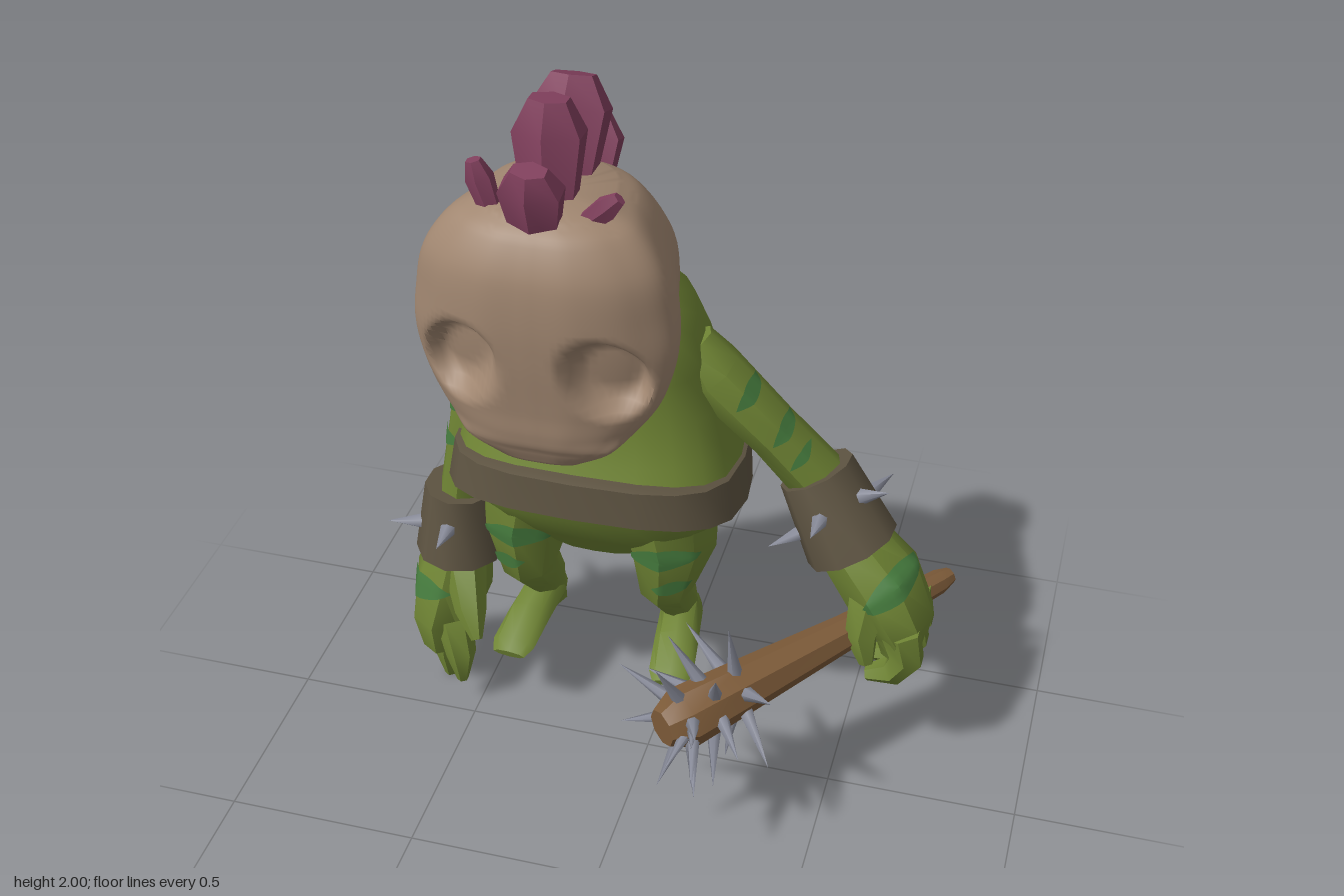
import * as THREE from 'three';
import { toCreasedNormals } from 'three/addons/utils/BufferGeometryUtils.js';

const V = (x, y, z) => new THREE.Vector3(x, y, z);
const CX = -0.172; // centre line of the body

export function createModel() {
  const model = new THREE.Group();
  const mat = (name, color) => Object.assign(new THREE.MeshStandardMaterial({ color }), { name });
  const skinGreen = mat('skin green', 0x6f8434);
  const stripeGreen = mat('stripe green', 0x467c3e);
  const bone = mat('bone tan', 0xa08670);
  const leather = mat('leather', 0x5e5442);
  const crest = mat('crest purple', 0x803f5c);
  const wood = mat('wood', 0x7d5b39);
  const steel = mat('steel', 0x898c9a);

  const add = (name, geo, material, parent = model) => {
    const mesh = new THREE.Mesh(geo, material);
    mesh.name = name;
    parent.add(mesh);
    return mesh;
  };

  // Skins a stack of point rings; closed stacks get end caps
  function skin(rings, crease = 0.8, closed = true) {
    const n = rings[0].length, pos = [], idx = [];
    rings.forEach(r => r.forEach(p => pos.push(p.x, p.y, p.z)));
    for (let i = 0; i < rings.length - 1; i++) {
      for (let j = 0; j < (closed ? n : n - 1); j++) {
        const k = (j + 1) % n, a = i * n + j, b = i * n + k, c = a + n, d = b + n;
        idx.push(a, b, c, b, d, c);
      }
    }
    if (closed) {
      [0, rings.length - 1].forEach((i, end) => {
        const m = middle(rings[i]), at = pos.length / 3;
        pos.push(m.x, m.y, m.z);
        for (let j = 0; j < n; j++) {
          const a = i * n + j, b = i * n + (j + 1) % n;
          end ? idx.push(at, a, b) : idx.push(at, b, a);
        }
      });
    }
    const geo = new THREE.BufferGeometry();
    geo.setAttribute('position', new THREE.Float32BufferAttribute(pos, 3));
    geo.setIndex(idx);
    return toCreasedNormals(geo, crease);
  }
  const middle = ring => ring.reduce((s, p) => s.add(p), V(0, 0, 0)).divideScalar(ring.length);

  // Elliptical rings along a path of [x, y, z, radius toward ref, radius across]
  function limbRings(st, n = 8, ref = V(0, 0, 1)) {
    const c = st.map(s => V(s[0], s[1], s[2]));
    return st.map((s, i) => {
      const T = c[Math.min(i + 1, c.length - 1)].clone().sub(c[Math.max(i - 1, 0)]).normalize();
      const B = ref.clone().addScaledVector(T, -ref.dot(T)).normalize();
      const N = T.clone().cross(B);
      return Array.from({ length: n }, (_, j) => {
        const a = j / n * Math.PI * 2;
        return c[i].clone().addScaledVector(B, s[3] * Math.cos(a)).addScaledVector(N, (s[4] ?? s[3]) * Math.sin(a));
      });
    });
  }
  const limb = (name, st, material, parent, n, ref, crease) => add(name, skin(limbRings(st, n, ref), crease), material, parent);

  // Pointed stripe painted on a limb: t along it, s around it (0 to 1)
  function stripe(st, t, s, width, span, parent) {
    const rings = limbRings(st), n = rings[0].length, rows = [];
    const at = (ring, q) => {
      const w = ((q % 1) + 1) % 1 * n, j = Math.floor(w) % n;
      return ring[j].clone().lerp(ring[(j + 1) % n], w - Math.floor(w));
    };
    for (let v = 0; v <= 4; v++) {
      rows.push(Array.from({ length: 13 }, (_, u) => {
        const q = u / 12, tt = t + (q - 0.5) * width * 0.4 + (v / 4 - 0.5) * width * Math.sin(q * Math.PI);
        const i = Math.min(Math.floor(tt), rings.length - 2), f = tt - i, a = s + (q - 0.5) * span;
        const p = at(rings[i], a).lerp(at(rings[i + 1], a), f);
        const c = middle(rings[i]).lerp(middle(rings[i + 1]), f);
        return p.addScaledVector(p.clone().sub(c).normalize(), 0.005);
      }));
    }
    add('stripe', skin(rows, 0.8, false), stripeGreen, parent);
  }

  function spike(p, dir, len, r, parent) {
    const d = dir.clone().normalize();
    const m = add('spike', new THREE.ConeGeometry(r, len, 6), steel, parent);
    m.quaternion.setFromUnitVectors(V(0, 1, 0), d);
    m.position.copy(p).addScaledVector(d, len / 2);
  }

  // Torso rings: [front y, back y, half width, front z, back z, narrowing at the back, dip at the sides]
  const bodyRings = rows => rows.map(([yf, yb, hw, zf, zb, narrow = 0, dip = 0]) => Array.from({ length: 20 }, (_, j) => {
    const a = j / 20 * Math.PI * 2, sq = v => Math.sign(v) * Math.abs(v) ** 0.72;
    const k = (1 + sq(Math.cos(a))) / 2;
    return V(CX + hw * sq(Math.sin(a)) * (1 - narrow * (1 - k)), yb + (yf - yb) * k - dip * Math.sin(a) ** 2, zb + (zf - zb) * k);
  }));
  add('pelvis', skin(bodyRings([
    [0.57, 0.57, 0.14, -0.09, -0.28], [0.66, 0.63, 0.28, -0.02, -0.35],
    [0.76, 0.7, 0.345, 0.05, -0.42], [0.84, 0.8, 0.36, 0.07, -0.44]])), skinGreen);
  add('belt', skin(bodyRings([
    [0.81, 0.72, 0.355, 0.08, -0.43, 0, 0.02], [0.82, 0.74, 0.39, 0.11, -0.45, 0, 0.02], [0.92, 0.89, 0.375, 0.1, -0.49, 0, 0.03],
    [0.925, 0.9, 0.355, 0.08, -0.47, 0, 0.03]])), leather);
  add('torso', skin(bodyRings([
    [0.87, 0.85, 0.37, 0.085, -0.475], [0.95, 0.96, 0.355, 0.05, -0.465, 0.06], [1.05, 1.07, 0.332, 0.02, -0.455, 0.14],
    [1.17, 1.2, 0.312, 0.02, -0.44, 0.24], [1.27, 1.32, 0.298, 0.02, -0.37, 0.32], [1.35, 1.42, 0.22, 0.02, -0.26, 0.25],
    [1.4, 1.5, 0.12, 0.02, -0.14]])), skinGreen);

  // Head: contour from face centre to nape, scaled per height, sockets pushed in
  const contour = new THREE.CatmullRomCurve3([[0, 1], [0.4, 0.985], [0.78, 0.89], [1, 0.74], [0.88, 0.45],
    [0.74, 0.18], [0.4, 0.02], [0, 0]].map(([x, z]) => V(x, z, 0)));
  const rows = [[1.155, 0.09, 0.335, 0.27], [1.2, 0.165, 0.355, 0.24], [1.25, 0.222, 0.37, 0.04], [1.32, 0.272, 0.375, -0.06],
    [1.45, 0.307, 0.39, -0.12], [1.55, 0.302, 0.395, -0.16], [1.66, 0.275, 0.385, -0.1], [1.745, 0.215, 0.345, -0.04], [1.78, 0.155, 0.3, 0.01]];
  const widths = new THREE.CatmullRomCurve3(rows.map(r => V(r[0], r[1], 0)));
  const depths = new THREE.CatmullRomCurve3(rows.map(r => V(r[2], r[3], 0)));
  const headRings = Array.from({ length: 49 }, (_, i) => {
    const w = widths.getPoint(i / 48), d = depths.getPoint(i / 48);
    return Array.from({ length: 96 }, (_, j) => {
      const c = contour.getPoint(j <= 48 ? j / 48 : 2 - j / 48), x = c.x * w.y * (j <= 48 ? 1 : -1);
      const p = V(CX + x, w.x, d.y + (d.x - d.y) * c.y);
      const e = Math.hypot((Math.abs(x) - 0.17) / 0.1, (w.x - 1.42 + (Math.abs(x) - 0.17) * 0.2) / 0.11);
      if (p.z > 0.2) p.z -= 0.07 * (1 - THREE.MathUtils.smoothstep(e, 0.6, 1.05));
      return p;
    });
  });
  add('head', skin(headRings, 1.3), bone);

  // Crest of crystal tufts: base, tip, half depth, half width
  [[[-0.175, 1.63, -0.06], [-0.175, 1.83, -0.135], 0.055, 0.092], [[-0.175, 1.73, 0.07], [-0.175, 1.975, -0.015], 0.072, 0.1],
    [[-0.175, 1.73, 0.18], [-0.175, 2, 0.165], 0.062, 0.09], [[-0.175, 1.72, 0.28], [-0.17, 1.91, 0.33], 0.052, 0.08],
    [[-0.28, 1.73, 0.25], [-0.32, 1.88, 0.26], 0.028, 0.034], [[-0.1, 1.73, 0.25], [0.01, 1.835, 0.265], 0.02, 0.03],
  ].forEach(([b, t, rz, rx]) => {
    const st = [[0, 0.7], [0.72, 1], [1, 0.55]].map(([k, s]) => [...b.map((v, i) => v + (t[i] - v) * k), rz * s, rx * s]);
    limb('crestTuft', st, crest, model, 6, undefined, 0.5);
  });

  // Legs, mirrored about the body's centre line
  for (const side of [-1, 1]) {
    const leg = new THREE.Group();
    leg.name = side < 0 ? 'rightLeg' : 'leftLeg';
    model.add(leg);
    const at = st => st.map(([x, ...r]) => [CX + side * x, ...r]);
    const shank = at([[0.17, 0.78, -0.17, 0.17, 0.15], [0.2, 0.61, -0.14, 0.13, 0.118], [0.19, 0.49, -0.12, 0.09, 0.075],
      [0.185, 0.41, -0.19, 0.075, 0.055], [0.19, 0.31, -0.27, 0.06, 0.05], [0.195, 0.235, -0.28, 0.05, 0.055]]);
    limb('shank', shank, skinGreen, leg);
    stripe(shank, 1, 0, 0.4, 0.32, leg);
    stripe(shank, 1.6, side * -0.06, 0.3, 0.2, leg);
    limb('foot', at([[0.195, 0.25, -0.335, 0.035, 0.04], [0.195, 0.272, -0.27, 0.06, 0.058], [0.21, 0.255, -0.15, 0.045, 0.06],
      [0.222, 0.232, -0.05, 0.022, 0.06], [0.225, 0.222, -0.015, 0.012, 0.045]]), skinGreen, leg, 8, V(0, 1, 0));
  }

  // Arms: upper arm, spiked cuff, hand and fingers
  function arm(name, upper, cuff, hand, fingers, marks) {
    const g = new THREE.Group();
    g.name = name;
    model.add(g);
    limb('upperArm', upper, skinGreen, g);
    limb('cuff', cuff, leather, g, 10);
    limb('hand', hand, skinGreen, g);
    fingers.forEach(f => limb('finger', f, skinGreen, g, 6));
    marks.forEach(([st, ...m]) => stripe(st, ...m, g));
    const rings = limbRings(cuff, 10);
    for (let j = 0; j < 10; j += 2) {
      const i = j % 4 ? 0.62 : 0.4, c = middle(rings[0]).lerp(middle(rings[1]), i);
      const p = rings[0][j].clone().lerp(rings[1][j], i), d = p.clone().sub(c).normalize();
      spike(p.addScaledVector(d, -0.015), d, 0.1, 0.024, g);
    }
  }
  const rUpper = [[-0.47, 1.1, -0.17, 0.07, 0.06], [-0.49, 1.03, -0.17, 0.085, 0.072], [-0.53, 0.85, -0.19, 0.08, 0.062], [-0.565, 0.6, -0.19, 0.08, 0.07]];
  const rHand = [[-0.575, 0.47, -0.18, 0.1, 0.09], [-0.595, 0.36, -0.165, 0.12, 0.108], [-0.62, 0.24, -0.14, 0.125, 0.09], [-0.62, 0.15, -0.14, 0.1, 0.065]];
  arm('rightArm', rUpper, [[-0.57, 0.645, -0.19, 0.11, 0.098], [-0.58, 0.44, -0.18, 0.132, 0.12]], rHand,
    [[-0.68, 0.08, -0.23], [-0.62, 0, -0.14], [-0.545, 0.08, -0.04]].map(([x, y, z]) => [
      [-0.62 + (x + 0.62) * 0.6, 0.25, -0.14 + (z + 0.14) * 0.6, 0.055, 0.05], [x, y + 0.09, z, 0.047, 0.04], [x, y, z, 0.018, 0.016]])
      .concat([[[-0.55, 0.42, -0.12, 0.06, 0.06], [-0.505, 0.34, -0.03, 0.045, 0.042], [-0.475, 0.28, 0.015, 0.015, 0.015]]]),
    [[rUpper, 1.5, 0.16, 0.2, 0.3], [rUpper, 2.1, 0.16, 0.2, 0.3], [rHand, 1.2, 0.13, 0.6, 0.35]]);

  const lUpper = [[0.07, 1.22, -0.17, 0.06, 0.05], [0.12, 1.14, -0.17, 0.085, 0.076], [0.27, 0.96, -0.21, 0.08, 0.068], [0.4, 0.8, -0.24, 0.085, 0.076]];
  const lHand = [[0.48, 0.66, -0.21, 0.105, 0.095], [0.58, 0.56, -0.18, 0.13, 0.11], [0.645, 0.46, -0.17, 0.13, 0.08], [0.645, 0.39, -0.17, 0.11, 0.06]];
  arm('leftArm', lUpper, [[0.38, 0.835, -0.24, 0.108, 0.1], [0.49, 0.64, -0.21, 0.137, 0.124]], lHand,
    [-0.255, -0.17, -0.085].map(z => [[0.65, 0.48, z, 0.047, 0.055], [0.67, 0.4, z, 0.046, 0.048], [0.635, 0.345, z, 0.042, 0.038], [0.57, 0.325, z, 0.026, 0.02]])
      .concat([[[0.56, 0.56, -0.12, 0.06, 0.06], [0.55, 0.46, -0.07, 0.045, 0.045], [0.57, 0.38, -0.06, 0.02, 0.02]]]),
    [[lUpper, 1.35, -0.17, 0.2, 0.28], [lUpper, 1.95, -0.17, 0.2, 0.28], [lUpper, 2.35, -0.12, 0.15, 0.22], [lHand, 1, -0.13, 0.55, 0.4]]);

  // Spiked club
  const club = new THREE.Group();
  club.name = 'club';
  model.add(club);
  const up = V(0, 1, 0);
  const shaft = [[0.735, 0.472, -0.36, 0.022], [0.71, 0.468, -0.33, 0.033], [0.5, 0.445, -0.08, 0.048], [0.28, 0.418, 0.17, 0.07],
    [0.17, 0.408, 0.3, 0.08], [0.13, 0.405, 0.345, 0.05]];
  limb('shaft', shaft, wood, club, 8, up, 0.7);
  const axis = V(-0.66, -0.06, 0.75).normalize(), side = up.clone().cross(axis).normalize();
  for (let r = 0; r < 3; r++) {
    for (let j = 0; j < 6; j++) {
      const a = (j + r * 0.5) / 6 * Math.PI * 2;
      const d = up.clone().multiplyScalar(Math.cos(a)).addScaledVector(side, Math.sin(a)).addScaledVector(axis, 0.15 + r * 0.2);
      spike(V(0.28, 0.417, 0.17).addScaledVector(axis, r * 0.07).addScaledVector(d, 0.045), d, 0.17, 0.022, club);
    }
  }
  for (const a of [0.5, 2.6, 4.7]) {
    const d = V(0.1, -0.06, 0.9).addScaledVector(up, Math.cos(a) * 0.5).addScaledVector(side, Math.sin(a) * 0.3);
    spike(V(0.2, 0.407, 0.3), d, 0.18, 0.022, club);
  }
  return model;
}
